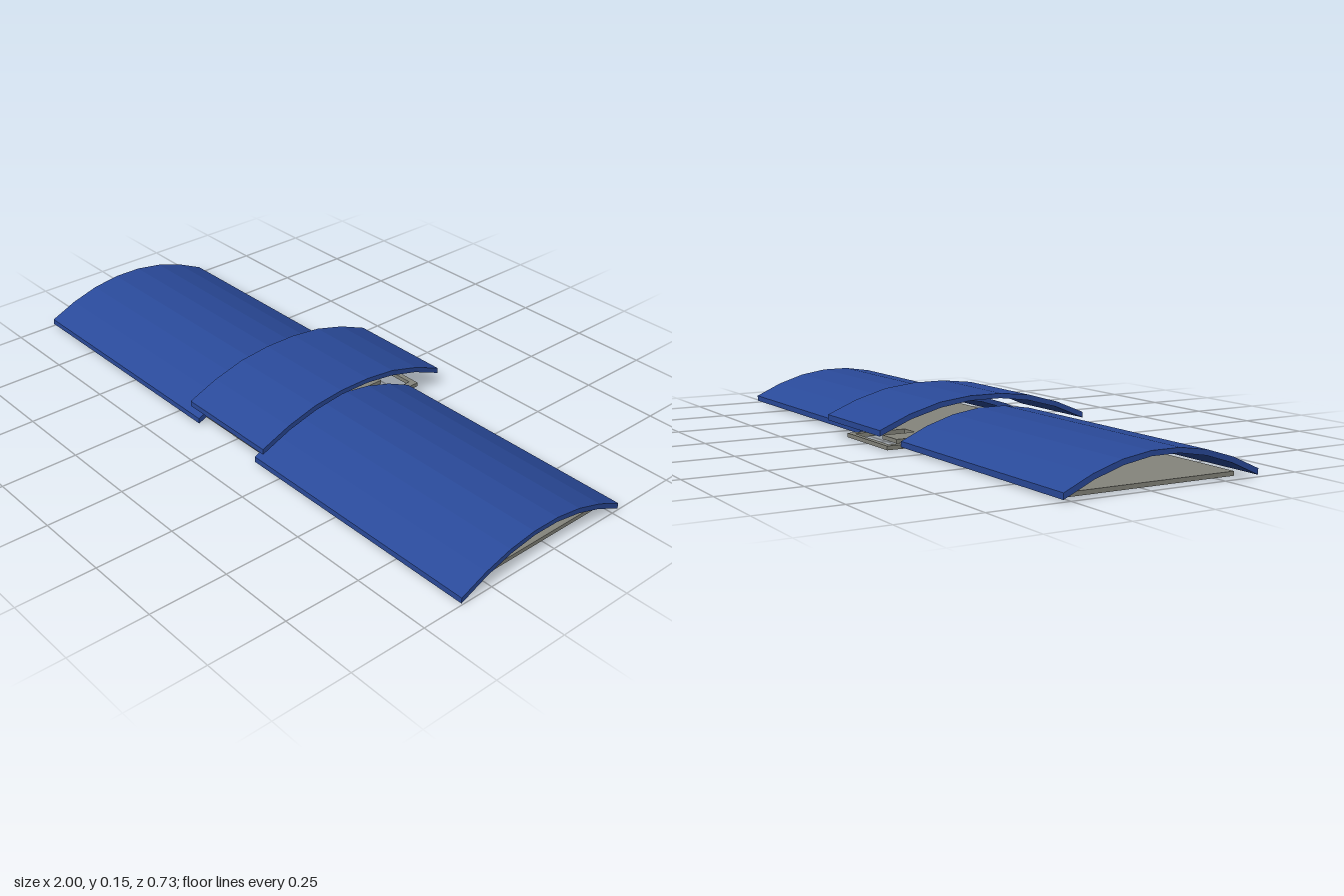
import * as THREE from 'three';

const blue = new THREE.MeshStandardMaterial({ color: 0x2a4a9a, flatShading: true });
const grey = new THREE.MeshStandardMaterial({ color: 0x85857c, flatShading: true });

// Thin arched panel running along x, from its half arch profile (distance from centre, top y, underside y)
function archPanel(name, half, zCentre, x0, x1) {
  const shape = new THREE.Shape();
  const mirrored = [...half].reverse();
  const top = [
    ...half.map(([d, t]) => [-d, t]),
    ...mirrored.map(([d, t]) => [d, t]),
  ];
  const under = [
    ...half.map(([d, , u, du]) => [d - du, u]),
    ...mirrored.map(([d, , u, du]) => [-(d - du), u]),
  ];
  shape.setFromPoints([...top, ...under].map(([a, y]) => new THREE.Vector2(a, y)));
  const geo = new THREE.ExtrudeGeometry(shape, { depth: x1 - x0, bevelEnabled: false });
  geo.rotateY(Math.PI / 2); // extrusion now along +x
  geo.translate(x0, 0, zCentre);
  const mesh = new THREE.Mesh(geo, blue);
  mesh.name = name;
  return mesh;
}

export function createModel() {
  const model = new THREE.Group();
  model.name = 'archedPanelAssembly';

  // Two lower arched panels with a gap between them
  const lower = [
    [0.319, 0.024, 0.006, 0],
    [0.23, 0.064, 0.048, 0.004],
    [0.139, 0.092, 0.076, 0.003],
    [0.047, 0.106, 0.091, 0.001],
  ];
  model.add(archPanel('leftPanel', lower, 0.046, 0.14, 1));
  model.add(archPanel('rightPanel', lower, 0.046, -1, -0.14));

  // Raised centre cover bridging the gap
  const upper = [
    [0.365, 0.07, 0.052, 0],
    [0.265, 0.111, 0.095, 0.004],
    [0.16, 0.14, 0.123, 0.003],
    [0.055, 0.152, 0.137, 0.001],
  ];
  model.add(archPanel('centreCover', upper, 0, -0.18, 0.18));

  // Base plate with a rear tab; shape y is -z
  const pts = (list) => list.map(([x, z]) => new THREE.Vector2(x, -z));
  const plate = new THREE.Shape(pts([
    [-0.955, 0.32], [0.955, 0.32], [0.955, -0.225], [0.137, -0.225],
    [0.137, -0.319], [-0.137, -0.319], [-0.137, -0.225], [-0.955, -0.225],
  ]));
  // U-shaped slot that leaves a tongue inside the tab
  plate.holes.push(new THREE.Path(pts([
    [-0.115, -0.125], [-0.115, -0.302], [0.115, -0.302], [0.115, -0.125],
    [0.047, -0.125], [0.047, -0.24], [-0.047, -0.24], [-0.047, -0.125],
  ])));
  const plateGeo = new THREE.ExtrudeGeometry(plate, { depth: 0.013, bevelEnabled: false });
  plateGeo.rotateX(-Math.PI / 2);
  const base = new THREE.Mesh(plateGeo, grey);
  base.name = 'basePlate';
  model.add(base);

  return model;
}
